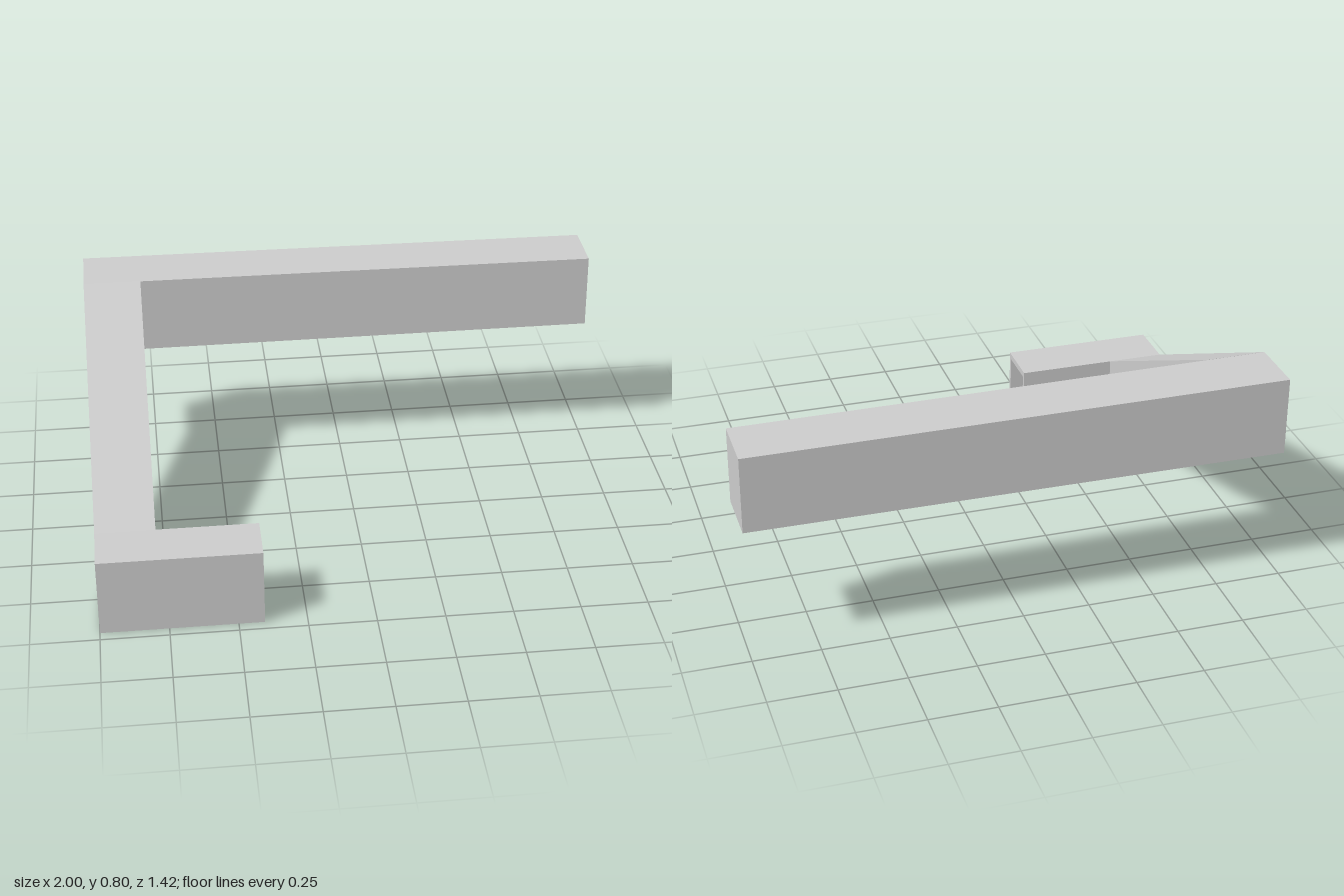
import * as THREE from 'three';

const material = new THREE.MeshStandardMaterial({ color: 0xcccccc, flatShading: true });

// Outline corners are [z, y]; the outline is extruded along x from x0 to x1.
const toOutline = (corners) => corners.map(([z, y]) => new THREE.Vector2(-z, y));
const rect = (z0, z1, y0, y1) => [[z0, y0], [z1, y0], [z1, y1], [z0, y1]];

function bar(name, corners, x0, x1, hole) {
  const shape = new THREE.Shape(toOutline(corners));
  if (hole) shape.holes.push(new THREE.Path(toOutline(hole)));
  const geometry = new THREE.ExtrudeGeometry(shape, { depth: x1 - x0, bevelEnabled: false });
  geometry.rotateY(Math.PI / 2).translate(x0, 0, 0);
  const mesh = new THREE.Mesh(geometry, material);
  mesh.name = name;
  return mesh;
}

export function createModel() {
  const group = new THREE.Group();
  group.name = 'crankedBar';

  // Short hollow socket, open towards +x and closed at the far end
  const socketOutline = rect(0.71, 0.515, 0, 0.3);
  const socket = bar('socketTube', socketOutline, -0.98, -0.405, rect(0.695, 0.532, 0.024, 0.276));
  const socketEnd = bar('socketEndWall', socketOutline, -1, -0.98);

  // Sloping arm joining the socket to the long bar
  const arm = bar('slopingArm', [[0.515, 0], [-0.487, 0.5], [-0.487, 0.8], [0.515, 0.3]], -1, -0.78);

  // Long bar, narrowing very slightly towards its free end
  const longBar = bar('longBar', rect(-0.487, -0.715, 0.5, 0.8), -1, 1);
  const p = longBar.geometry.attributes.position;
  for (let i = 0; i < p.count; i++) {
    if (p.getX(i) < 0) continue;
    p.setY(i, 0.65 + (p.getY(i) - 0.65) * 0.97);
    p.setZ(i, -0.601 + (p.getZ(i) + 0.601) * 0.97);
  }
  longBar.geometry.computeVertexNormals();

  group.add(socket, socketEnd, arm, longBar);
  return group;
}
